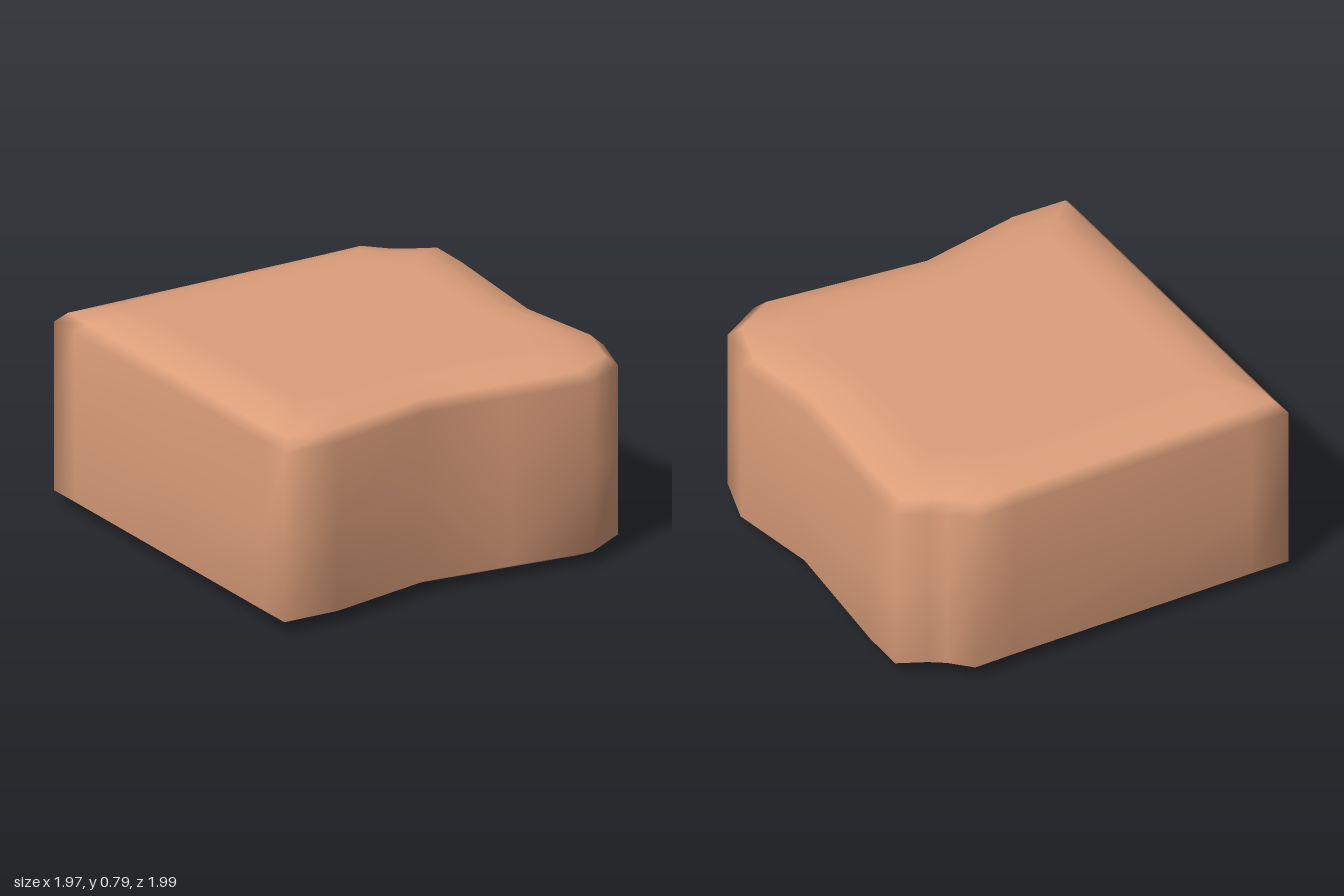
import * as THREE from 'three';

// Plan outline [x, z], counter-clockwise seen from above
const OUTLINE = [
  [-0.99, 0.41], [-0.86, 0.46], [-0.25, 0.70], [0.36, 0.94], [0.49, 0.99], [0.58, 0.78],
  [0.66, 0.34], [0.82, 0.04], [0.98, -0.26], [0.95, -0.46], [0.78, -0.60], [0.42, -0.68],
  [-0.08, -0.93], [-0.25, -1.0], [-0.34, -0.92], [-0.40, -0.88], [-0.50, -0.84],
  [-0.56, -0.68], [-0.745, -0.21], [-0.93, 0.26],
];

// Horizontal rings [height, scale of the outline], from the underside to the top
const RINGS = [
  [0, 0.3], [0.003, 0.62], [0.01, 0.78], [0.027, 0.94], [0.05, 1],
  [0.38, 1], [0.715, 1], [0.755, 0.95], [0.79, 0.81], [0.79, 0.68], [0.79, 0.3],
];

// Closed skin through the rings, with a centre point for each cap
function ringSolid(outline, rings) {
  const n = outline.length, pos = [], idx = [];
  for (const [y, s] of rings) for (const [x, z] of outline) pos.push(x * s, y, z * s);
  const bottom = pos.length / 3, top = bottom + 1, last = (rings.length - 1) * n;
  pos.push(0, rings[0][0], 0, 0, rings[rings.length - 1][0], 0);
  for (let i = 0; i < n; i++) {
    const j = (i + 1) % n;
    for (let r = 0; r < last; r += n) {
      idx.push(r + i, r + j, r + n + j, r + i, r + n + j, r + n + i);
    }
    idx.push(bottom, j, i, top, last + i, last + j);
  }
  const geo = new THREE.BufferGeometry();
  geo.setAttribute('position', new THREE.Float32BufferAttribute(pos, 3));
  geo.setIndex(idx);
  geo.computeVertexNormals();
  return geo;
}

export function createModel() {
  const group = new THREE.Group();
  group.name = 'rock';
  const block = new THREE.Mesh(
    ringSolid(OUTLINE, RINGS),
    new THREE.MeshStandardMaterial({ color: 0xdd9f7b })
  );
  block.name = 'rockBlock';
  group.add(block);
  return group;
}
